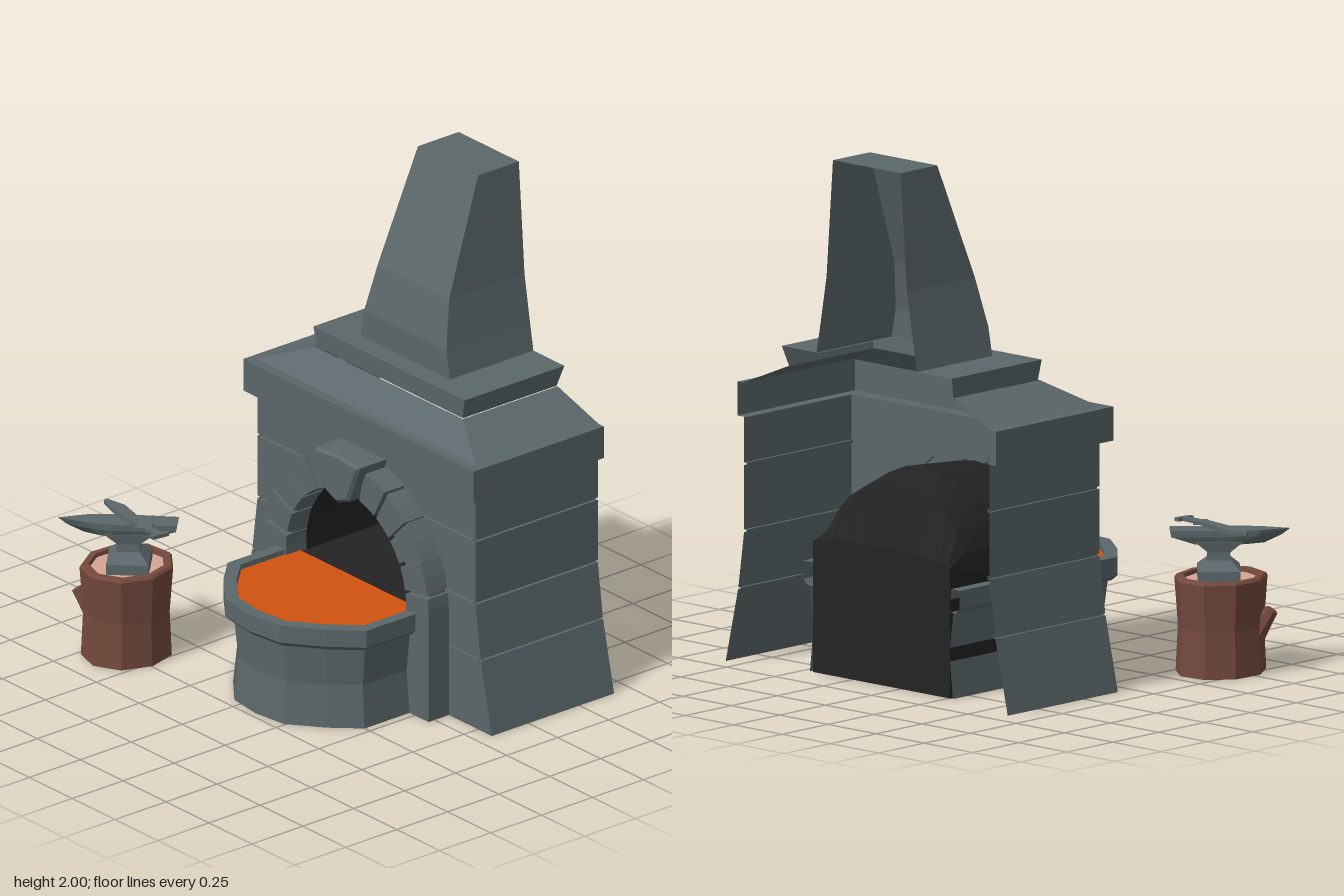
import * as THREE from 'three';

const mat = (name, color) => new THREE.MeshStandardMaterial({ name, color, flatShading: true, side: THREE.DoubleSide });

// Skin a list of equal-length point loops; optionally fan-cap the ends.
function loft(loops, { closed = false, capStart = false, capEnd = false } = {}) {
  const n = loops[0].length, pos = loops.flat(2), idx = [];
  for (let r = 0; r < loops.length - 1; r++) {
    for (let i = 0; i < (closed ? n : n - 1); i++) {
      const a = r * n + i, b = r * n + (i + 1) % n;
      idx.push(a, b, b + n, a, b + n, a + n);
    }
  }
  const e = (loops.length - 1) * n;
  for (let i = 1; i < n - 1; i++) {
    if (capStart) idx.push(0, i + 1, i);
    if (capEnd) idx.push(e, e + i, e + i + 1);
  }
  const g = new THREE.BufferGeometry();
  g.setAttribute('position', new THREE.Float32BufferAttribute(pos, 3));
  g.setIndex(idx);
  const flat = g.toNonIndexed();
  flat.computeVertexNormals();
  return flat;
}

const polygon = pts => new THREE.Shape(pts.map(p => new THREE.Vector2(...p)));
const extrude = (pts, depth, bevel = 0) => new THREE.ExtrudeGeometry(polygon(pts), {
  depth, bevelEnabled: bevel > 0, bevelSize: bevel, bevelThickness: bevel, bevelSegments: 1, bevelOffset: -bevel });

export function createModel() {
  const stone = mat('stone grey', 0x5b676a), soot = mat('soot black', 0x232323);
  const ember = mat('ember orange', 0xd0530f), bark = mat('bark brown', 0x74493d);
  const wood = mat('cut wood', 0xd4a495);
  const model = new THREE.Group(), forge = new THREE.Group();
  forge.name = 'forge';
  forge.position.x = 0.1;
  model.add(forge);
  const add = (parent, name, geo, material, x = 0, y = 0, z = 0) => {
    const m = new THREE.Mesh(geo, material);
    m.name = name;
    m.position.set(x, y, z);
    parent.add(m);
    return m;
  };

  // Wall half width by height: flared foot, straight above
  const wallHalf = y => y < 0.29 ? 0.73 - 0.065 * y / 0.29 : y < 0.51 ? 0.665 - 0.03 * (y - 0.29) / 0.22 : 0.635;
  const springY = 0.43, openR = 0.4;
  const openHalf = y => y < springY ? openR : Math.sqrt(Math.max(0, openR ** 2 - (y - springY) ** 2));

  // Half of the front wall between two heights, cut by the arch
  const halfFront = (side, y0, y1, inset) => {
    const pts = [], n = 16;
    for (let i = 0; i <= n; i++) {
      const y = y0 + (y1 - y0) * i / n;
      pts.push([side * (wallHalf(y) - inset), y]);
    }
    for (let i = n; i >= 0; i--) {
      const y = y0 + (y1 - y0) * i / n;
      pts.push([side * openHalf(y), y]);
    }
    return pts;
  };

  // Stone courses with narrow grooves, open at the back
  const courses = [[0, 0.285], [0.292, 0.508], [0.518, 0.765], [0.775, 0.95]];
  for (const side of [-1, 1]) {
    add(forge, 'frontBacking', extrude(halfFront(side, 0, 0.95, 0.012), 0.005), stone, 0, 0, -0.09);
    for (const [y0, y1] of courses)
      add(forge, 'frontCourse', extrude(halfFront(side, y0, y1, 0), 0.015), stone, 0, 0, -0.085);
    const rows = courses.flatMap(([y0, y1], i) => {
      const r = [[y0, 0], [y1, 0]];
      return i < 3 ? [...r, [y1, 0.012], [courses[i + 1][0], 0.012]] : r;
    });
    add(forge, 'sideWall', loft(rows.map(([y, d]) => {
      const x = side * (wallHalf(y) - d);
      return [[x, y, -0.07], [x, y, -0.67]];
    })), stone);
  }

  // Hood and chimney: three-sided shells, rows of [y, half width, front z, back z]
  const shell = rows => loft(rows.map(([y, w, f, b = -0.67]) => [[-w, y, b], [-w, y, f], [w, y, f], [w, y, b]]), { capEnd: rows.at(-1)[0] === 2 });
  add(forge, 'hood', shell([[0.95, 0.625, -0.08], [0.95, 0.67, -0.03], [1.08, 0.67, -0.03],
    [1.08, 0.64, -0.07], [1.17, 0.43, -0.18, -0.645]]), stone);
  add(forge, 'hoodSlab', shell([[1.17, 0.425, -0.185, -0.645], [1.25, 0.44, -0.18], [1.25, 0.25, -0.27]]), stone);
  add(forge, 'chimney', shell([[1.25, 0.26, -0.26], [1.36, 0.24, -0.26], [1.55, 0.208, -0.3], [2, 0.175, -0.47]]), stone);

  // Arch ring: recessed backing with separate voussoirs
  const sector = (r0, r1, a0, a1, n) => {
    const pts = [];
    for (let i = 0; i <= n; i++) { const a = a0 + (a1 - a0) * i / n; pts.push([r1 * Math.cos(a), r1 * Math.sin(a)]); }
    for (let i = n; i >= 0; i--) { const a = a0 + (a1 - a0) * i / n; pts.push([r0 * Math.cos(a), r0 * Math.sin(a)]); }
    return pts;
  };
  add(forge, 'archBacking', extrude(sector(0.355, 0.465, 0, Math.PI, 16), 0.075), stone, 0, springY, -0.07);
  const start = 0.17, step = (Math.PI / 2 - 0.2 - start) / 4;
  for (const side of [-1, 1]) {
    for (let i = -1; i < 4; i++) {
      const a0 = i < 0 ? 0 : start + i * step + 0.02, a1 = start + (i + 1) * step - 0.02;
      const pts = sector(0.35, 0.48, a0, a1, 2).map(([x, y]) => [side * x, y]);
      add(forge, 'archStone', extrude(pts, 0.1), stone, 0, springY, -0.07);
    }
    add(forge, 'archJamb', new THREE.BoxGeometry(0.13, springY, 0.1), stone, side * 0.415, springY / 2, -0.02);
  }
  add(forge, 'keystone', extrude([[-0.13, 0.935], [-0.065, 0.775], [0, 0.75], [0.065, 0.775],
    [0.13, 0.935], [0, 0.95]], 0.13, 0.012), stone, 0, 0, -0.062);

  // Sooty firebox: arched sections that close toward the back
  const archLoop = (z, w, spring, rise) => {
    const pts = [[w, 0, z]];
    for (let i = 0; i <= 12; i++) {
      const a = Math.PI * i / 12;
      pts.push([w * Math.cos(a), spring + rise * Math.sin(a), z]);
    }
    return [...pts, [-w, 0, z]];
  };
  add(forge, 'firebox', loft([archLoop(-0.068, 0.352, 0.43, 0.352), archLoop(-0.36, 0.355, 0.45, 0.355),
    archLoop(-0.5, 0.355, 0.47, 0.29), archLoop(-0.59, 0.355, 0.5, 0.03)], { capEnd: true }), soot);
  add(forge, 'fireboxFloor', new THREE.BoxGeometry(0.7, 0.01, 0.55), soot, 0, 0.39, -0.31);

  // Rounded hearth basin with a rim, running back under the arch
  const half = [[1, 0.27], [0.74, 0.38], [0.39, 0.49]];
  const basinLoop = (y, w, front) => {
    const side = s => half.map(([x, z]) => [s * x * w, y, z * front / 0.51]);
    return [[-w, y, -0.59], ...side(-1), [0, y, front], ...side(1).reverse(), [w, y, -0.59]];
  };
  add(forge, 'basin', loft([basinLoop(0, 0.37, 0.475), basinLoop(0.17, 0.352, 0.46), basinLoop(0.33, 0.372, 0.475)]), stone);
  add(forge, 'basinRim', loft([basinLoop(0.33, 0.35, 0.45), basinLoop(0.33, 0.385, 0.49), basinLoop(0.35, 0.405, 0.51),
    basinLoop(0.42, 0.405, 0.51), basinLoop(0.42, 0.36, 0.46), basinLoop(0.38, 0.357, 0.455)]), stone);
  const coalPts = basinLoop(0, 0.36, 0.46).map(([x, , z]) => [x, -Math.max(z, -0.04)]);
  add(forge, 'embers', new THREE.ShapeGeometry(polygon(coalPts)), ember, 0, 0.4, 0).rotation.x = -Math.PI / 2;

  // Tree stump with bark ring, cut top and a branch stub
  const stump = new THREE.Group();
  stump.name = 'stump';
  stump.position.set(-0.64, 0, 0.48);
  model.add(stump);
  const profile = [[0, 0], [0.165, 0], [0.157, 0.18], [0.17, 0.36], [0.162, 0.37], [0.138, 0.37], [0.134, 0.34]];
  const trunk = add(stump, 'trunk', new THREE.LatheGeometry(profile.map(p => new THREE.Vector2(...p)), 9), bark);
  const top = add(stump, 'stumpTop', new THREE.CylinderGeometry(0.137, 0.137, 0.008, 9), wood, 0, 0.35, 0);
  trunk.scale.z = top.scale.z = 1.12;
  trunk.rotation.y = top.rotation.y = 0.1;
  const from = new THREE.Vector3(-0.08, 0.09, 0.06), to = new THREE.Vector3(-0.155, 0.24, 0.115);
  const branch = add(stump, 'branchStub', new THREE.CylinderGeometry(0.025, 0.045, from.distanceTo(to), 6), bark);
  branch.position.copy(from).lerp(to, 0.5);
  branch.quaternion.setFromUnitVectors(new THREE.Vector3(0, 1, 0), to.clone().sub(from).normalize());

  // Anvil, turned diagonally on the stump
  const anvil = new THREE.Group();
  anvil.name = 'anvil';
  anvil.position.set(-0.63, 0, 0.48);
  anvil.rotation.y = Math.PI / 4;
  model.add(anvil);
  const rect = (y, w, d) => [[-w, y, -d], [-w, y, d], [w, y, d], [w, y, -d]];
  add(anvil, 'anvilFoot', loft([rect(0.35, 0.08, 0.085), rect(0.395, 0.08, 0.085), rect(0.43, 0.045, 0.04),
    rect(0.46, 0.042, 0.038), rect(0.5, 0.09, 0.045)], { closed: true, capEnd: true }), stone);
  const plan = (y, horn, heel, d) => [[-horn, y, 0], [-horn * 0.6, y, d * 0.75], [-0.06, y, d], [heel, y, d * 0.85],
    [heel, y, -d * 0.85], [-0.06, y, -d], [-horn * 0.6, y, -d * 0.75]];
  add(anvil, 'anvilTop', loft([plan(0.49, 0.17, 0.09, 0.04), plan(0.52, 0.235, 0.18, 0.05), plan(0.545, 0.268, 0.185, 0.05)],
    { closed: true, capStart: true, capEnd: true }), stone);

  // Unfinished blade resting on the anvil
  const blade = [[-0.81, -0.44], [-0.72, -0.425], [-0.54, -0.47], [-0.52, -0.455], [-0.505, -0.475], [-0.445, -0.48],
    [-0.44, -0.46], [-0.42, -0.46], [-0.43, -0.53], [-0.45, -0.53], [-0.45, -0.505], [-0.51, -0.505],
    [-0.53, -0.525], [-0.55, -0.51], [-0.72, -0.485], [-0.8, -0.46]];
  add(model, 'blade', extrude(blade, 0.014), stone, 0, 0.546, 0).rotation.x = -Math.PI / 2;
  return model;
}
